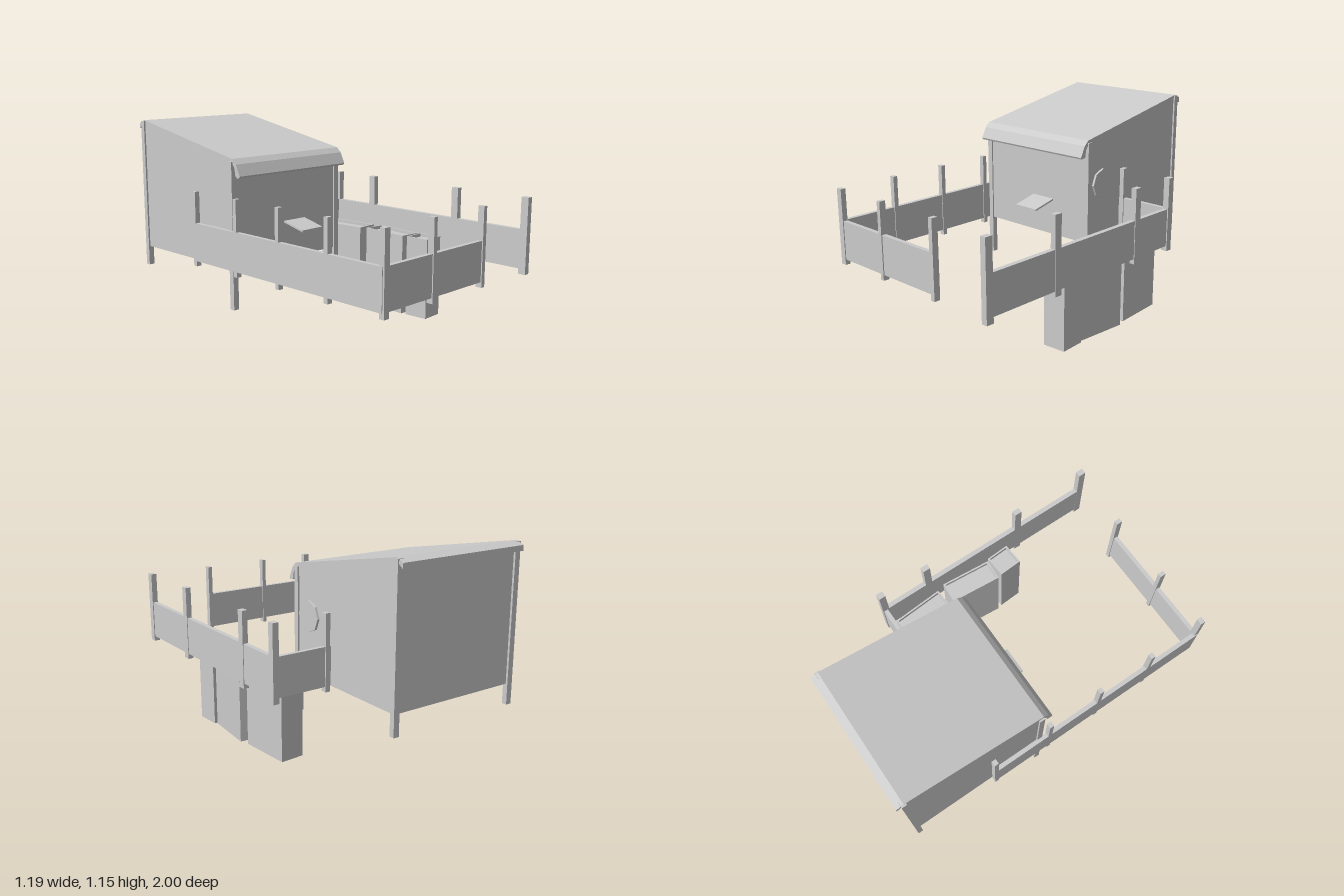
import * as THREE from 'three';

const material = new THREE.MeshStandardMaterial({ color: 0xcccccc, flatShading: true, side: THREE.DoubleSide });

export function createModel() {
  const model = new THREE.Group();

  function add(parent, name, geometry) {
    const mesh = new THREE.Mesh(geometry, material);
    mesh.name = name;
    parent.add(mesh);
    return mesh;
  }
  // box given by its extents on each axis
  function block(parent, name, [x0, x1], [y0, y1], [z0, z1]) {
    const mesh = add(parent, name, new THREE.BoxGeometry(x1 - x0, y1 - y0, z1 - z0));
    mesh.position.set((x0 + x1) / 2, (y0 + y1) / 2, (z0 + z1) / 2);
    return mesh;
  }
  // (z, y) outline swept along x
  function profile(parent, name, points, x0, x1) {
    const shape = new THREE.Shape(points.map(([z, y]) => new THREE.Vector2(z, y)));
    const geometry = new THREE.ExtrudeGeometry(shape, { depth: x1 - x0, bevelEnabled: false });
    geometry.rotateY(-Math.PI / 2).translate(x1, 0, 0);
    return add(parent, name, geometry);
  }
  function group(name) {
    const g = new THREE.Group();
    g.name = name;
    model.add(g);
    return g;
  }

  // Hut: walls open at the bottom
  const hut = group('hut');
  const side = [[-0.955, 0.38], [-0.13, 0.38], [-0.13, 0.975], [-0.955, 1.135]];
  profile(hut, 'leftWall', side, 0.22, 0.235);
  profile(hut, 'rightWall', side, -0.565, -0.55);
  block(hut, 'frontWall', [-0.55, 0.22], [0.38, 0.88], [-0.145, -0.13]);
  block(hut, 'backWall', [-0.55, 0.22], [0.38, 1.1], [-0.96, -0.945]);
  for (const x of [-0.558, 0.228]) {
    block(hut, 'frontCornerPost', [x - 0.017, x + 0.017], [0.15, 0.975], [-0.155, -0.122]);
    block(hut, 'backCornerPost', [x - 0.017, x + 0.017], [0.265, 1.145], [-0.972, -0.942]);
  }

  // Sloping roof with a curved front lip and a short back lip
  profile(hut, 'roof', [
    [-0.955, 1.15], [-0.125, 0.99], [-0.095, 0.962], [-0.065, 0.9], [-0.07, 0.89],
    [-0.1, 0.895], [-0.108, 0.94], [-0.13, 0.972], [-0.955, 1.13],
    [-0.975, 1.118], [-1, 1.1], [-1, 1.13],
  ], -0.565, 0.238);

  // Eight-sided disc on the side wall
  const disc = add(hut, 'sideDisc', new THREE.CylinderGeometry(0.088, 0.088, 0.02, 8));
  disc.rotation.z = Math.PI / 2;
  disc.position.set(0.238, 0.72, -0.255);

  // Sloping shelf on the front wall
  profile(hut, 'frontShelf', [[-0.14, 0.592], [0.02, 0.555], [0.02, 0.565], [-0.14, 0.602]], -0.19, -0.03);

  // Fence boards
  const fence = group('fence');
  const height = [0.38, 0.6];
  block(fence, 'rightBoard', [-0.595, -0.57], height, [-0.44, 0.97]);
  block(fence, 'leftBoard', [0.562, 0.59], height, [-0.44, 0.99]);
  block(fence, 'frontBoard', [-0.59, 0.2], height, [0.95, 0.975]);
  block(fence, 'backBoard', [-0.58, 0.58], height, [-0.445, -0.42]);

  // Fence posts: x, z, half width in x, half width in z
  const posts = [
    [-0.58, -0.44, 0.015, 0.013], [-0.58, -0.08, 0.015, 0.013], [-0.58, 0.257, 0.015, 0.013],
    [-0.58, 0.61, 0.015, 0.013], [-0.573, 0.965, 0.018, 0.015], [-0.222, 0.963, 0.012, 0.018],
    [0.188, 0.963, 0.013, 0.018], [0.257, -0.432, 0.014, 0.018], [0.578, -0.43, 0.018, 0.02],
    [0.578, -0.13, 0.016, 0.022], [0.578, 0.512, 0.016, 0.022], [0.578, 0.978, 0.017, 0.022],
  ];
  for (const [x, z, w, d] of posts) block(fence, 'fencePost', [x - w, x + w], [0.35, 0.78], [z - d, z + d]);

  // Tall bins beside the fence, each with a shallow recessed top
  const bins = group('bins');
  for (const [x, z, w, d, turn] of [
    [0.461, -0.242, 0.138, 0.312, 0.07],
    [0.481, 0.108, 0.13, 0.312, -0.08],
    [0.483, 0.354, 0.135, 0.145, 0.06],
  ]) {
    const bin = new THREE.Group();
    bin.name = 'bin';
    bin.position.set(x, 0, z);
    bin.rotation.y = turn;
    bins.add(bin);
    block(bin, 'binBody', [-w / 2, w / 2], [0, 0.46], [-d / 2, d / 2]);
    for (const s of [-1, 1]) {
      const rimX = s * (w / 2 - 0.005), rimZ = s * (d / 2 - 0.005);
      block(bin, 'binSideRim', [rimX - 0.005, rimX + 0.005], [0.46, 0.48], [-d / 2, d / 2]);
      block(bin, 'binEndRim', [-w / 2 + 0.01, w / 2 - 0.01], [0.46, 0.48], [rimZ - 0.005, rimZ + 0.005]);
    }
  }

  return model;
}
